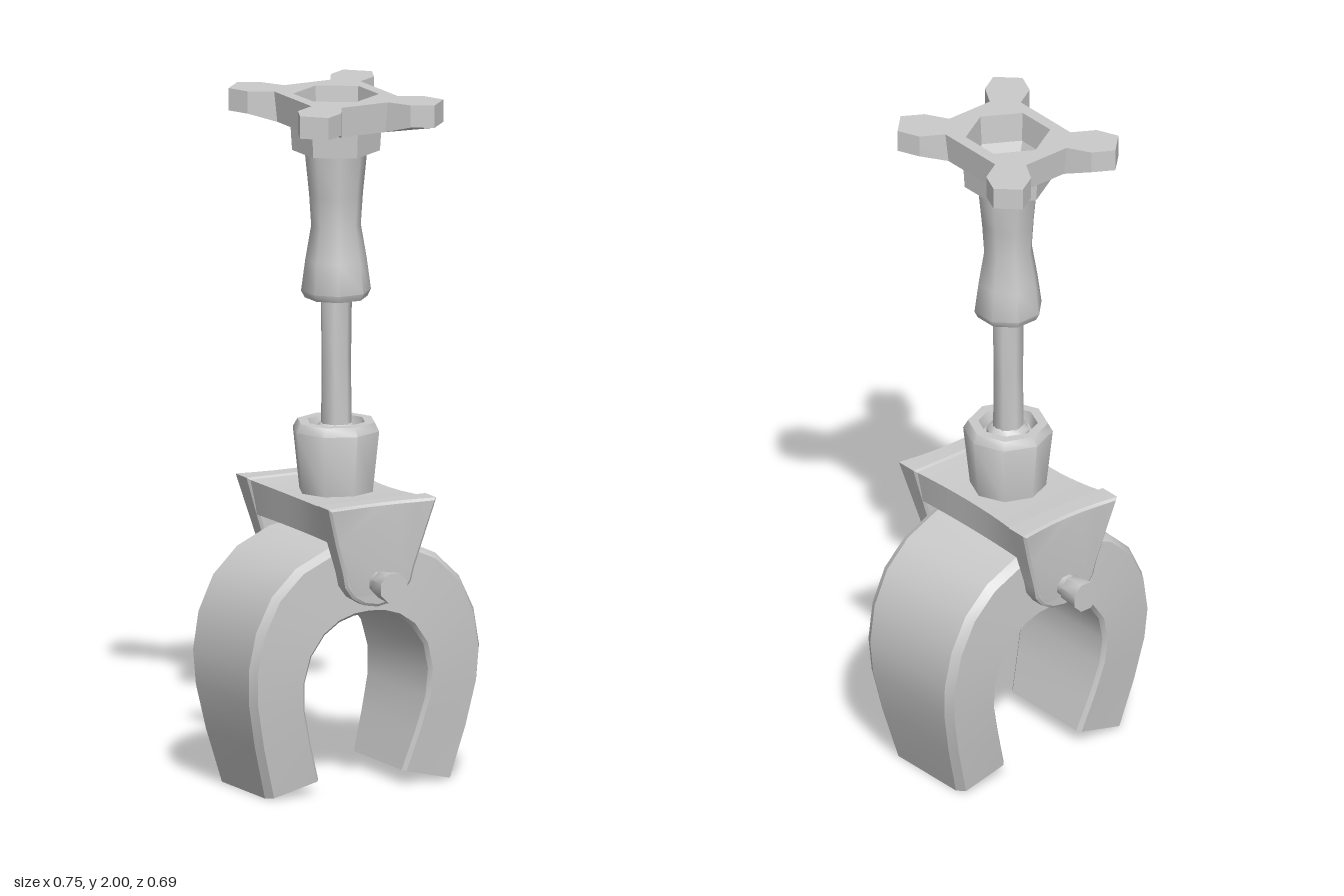
import * as THREE from 'three';
import { toCreasedNormals } from 'three/addons/utils/BufferGeometryUtils.js';

const V = (x, y) => new THREE.Vector2(x, y);
const grey = new THREE.MeshStandardMaterial({ color: 0xcccccc, side: THREE.DoubleSide });

function part(name, geometry, crease = 0.9) {
  const mesh = new THREE.Mesh(toCreasedNormals(geometry, crease), grey);
  mesh.name = name;
  return mesh;
}

// Lathe from [radius, y] pairs
const turned = (name, pairs, sides, turn = 0, crease = 0.9) =>
  part(name, new THREE.LatheGeometry(pairs.map(p => V(...p)), sides, turn), crease);

// Move every vertex by a rule
function reshape(geometry, rule) {
  const pos = geometry.attributes.position;
  const v = new THREE.Vector3();
  for (let i = 0; i < pos.count; i++) {
    rule(v.fromBufferAttribute(pos, i));
    pos.setXYZ(i, v.x, v.y, v.z);
  }
  return geometry;
}

// Horseshoe: chamfered cross-sections between an outer and an inner curve
function horseshoeGeometry() {
  const half = [
    [0.300, 0.005, 0.135, 0.045], [0.342, 0.160, 0.170, 0.160],
    [0.368, 0.290, 0.196, 0.260], [0.373, 0.390, 0.200, 0.340],
    [0.352, 0.500, 0.182, 0.415], [0.303, 0.600, 0.140, 0.475],
    [0.225, 0.675, 0.092, 0.508], [0.120, 0.723, 0.045, 0.522],
    [0, 0.740, 0, 0.525],
  ];
  const mirrored = half.slice(0, -1).reverse().map(([a, b, c, d]) => [-a, b, -c, d]);
  const verts = [], index = [];
  const stations = [...half, ...mirrored];
  for (const [ox, oy, ix, iy] of stations) {
    const o = V(ox, oy), i = V(ix, iy);
    const n = o.clone().sub(i).normalize();
    const o2 = o.clone().addScaledVector(n, -0.016), i2 = i.clone().addScaledVector(n, 0.01);
    const width = y => 0.15 + 0.05 * Math.sin(Math.min(1, y / 0.6) * Math.PI / 2);
    const w = width((oy + iy) / 2), c = w - 0.026, d = w - 0.012;
    const ring = [[o2, w], [o, c], [o, -c], [o2, -w], [i2, -w], [i, -d], [i, d], [i2, w]];
    for (const [p, z] of ring) verts.push(p.x, p.y, z);
  }
  const last = (stations.length - 1) * 8;
  for (let s = 0; s < last; s += 8) {
    for (let j = 0; j < 8; j++) {
      const k = (j + 1) % 8;
      index.push(s + j, s + k, s + 8 + k, s + j, s + 8 + k, s + 8 + j);
    }
  }
  for (let j = 1; j < 7; j++) {
    index.push(0, j + 1, j, last, last + j, last + j + 1);
  }
  const g = new THREE.BufferGeometry();
  g.setAttribute('position', new THREE.Float32BufferAttribute(verts, 3));
  g.setIndex(index);
  return g;
}

// Cheek plate: tapered with a round foot, flaring outward to the top
function cheekGeometry() {
  const pts = [];
  for (let k = 0; k <= 6; k++) pts.push(V(0.175 - k * 0.35 / 6, 0.86));
  pts.push(V(-0.143, 0.75));
  for (let k = 0; k <= 8; k++) {
    const a = Math.PI * (1 + k / 8);
    pts.push(V(0.115 * Math.cos(a), 0.66 + 0.105 * Math.sin(a)));
  }
  pts.push(V(0.143, 0.75));
  const g = new THREE.ExtrudeGeometry(new THREE.Shape(pts), {
    depth: 0.8, bevelThickness: 0.1, bevelSize: 0.008, bevelOffset: -0.008, bevelSegments: 1,
  });
  return reshape(g, v => {
    const t = (v.y - 0.555) / 0.305;
    const outer = 0.25 + 0.032 * t - 0.018 * t * (1 - (v.x / 0.175) ** 2);
    v.z = 0.202 + (outer - 0.202) * (v.z + 0.1);
  });
}

// Bridge between the cheeks: waisted and slightly sagging
function bridgeGeometry() {
  return reshape(new THREE.BoxGeometry(2, 1, 0.44, 1, 1, 8), v => {
    const e = (v.z / 0.22) ** 2, top = v.y > 0;
    v.x *= top ? 0.149 + 0.02 * e : 0.137 + 0.006 * e;
    v.y = top ? 0.847 + 0.008 * e : 0.75;
  });
}

// Hand wheel: four stubby arms around an open hub
function wheelGeometry() {
  const corner = [[0.14, 0.11], [0.205, 0.148], [0.232, 0.212], [0.172, 0.27], [0.112, 0.235], [0.075, 0.17]];
  const pts = [];
  for (const [sx, sy] of [[1, 1], [-1, 1], [-1, -1], [1, -1]]) {
    const run = corner.map(([x, y]) => V(x * sx, y * sy));
    pts.push(...(sx * sy > 0 ? run : run.reverse()));
  }
  const shape = new THREE.Shape(pts);
  const hole = [];
  for (let k = 0; k < 6; k++) {
    const a = -(k + 0.5) * Math.PI / 3;
    hole.push(V(0.122 * Math.sin(a + Math.PI / 6), 0.122 * Math.cos(a + Math.PI / 6)));
  }
  shape.holes.push(new THREE.Path(hole));
  const g = new THREE.ExtrudeGeometry(shape, { depth: 1, bevelEnabled: false });
  g.rotateX(-Math.PI / 2);
  return reshape(g, v => {
    const r = Math.hypot(v.x, v.z);
    const under = r > 0.24 ? 1.935 : 1.912;
    v.y = v.y > 0.5 ? 2 : under;
    // Underside draws in toward the collar
    if (under < 1.93 && v.y < 1.95) { v.x *= 0.95; v.z *= 0.95; }
  });
}

export function createModel() {
  const model = new THREE.Group();
  model.name = 'horseshoeClampTool';

  model.add(part('horseshoe', horseshoeGeometry(), 0.5));

  const bracket = new THREE.Group();
  bracket.name = 'bracket';
  bracket.add(part('bridge', bridgeGeometry(), 0.5));
  for (const side of [0, 1]) {
    const cheek = part(side ? 'backCheek' : 'frontCheek', cheekGeometry(), 0.5);
    cheek.rotation.y = side * Math.PI;
    // Pivot pin end, flaring outward
    const pin = turned(side ? 'backPin' : 'frontPin',
      [[0.034, 0.19], [0.034, 0.275], [0.041, 0.28], [0.046, 0.344], [0, 0.344]], 8, Math.PI / 8);
    pin.rotation.x = side ? -Math.PI / 2 : Math.PI / 2;
    pin.position.y = 0.627;
    bracket.add(cheek, pin);
  }
  model.add(bracket);

  // Socket with a recessed top
  model.add(turned('socket', [
    [0, 0.84], [0.108, 0.84], [0.128, 1.025], [0.114, 1.05], [0.085, 1.05], [0.075, 1.015], [0, 1.015],
  ], 8));
  model.add(turned('rodFoot', [[0.062, 1.01], [0.062, 1.03], [0.045, 1.045]], 8));
  model.add(turned('rod', [[0.045, 1.01], [0.043, 1.22], [0.046, 1.44]], 7, 0.3, 1.0));

  // Waisted grip
  model.add(turned('grip', [
    [0, 1.41], [0.09, 1.41], [0.1, 1.43], [0.088, 1.52], [0.071, 1.62], [0.077, 1.71], [0.09, 1.84],
    [0.05, 1.84], [0.046, 1.79], [0, 1.79],
  ], 8, Math.PI / 8));

  // Hollow six-sided collar under the wheel
  model.add(turned('collar', [
    [0.05, 1.836], [0.125, 1.836], [0.13, 1.915], [0.122, 1.915], [0.095, 1.86], [0.05, 1.85],
  ], 6, 0, 0.6));
  model.add(part('handWheel', wheelGeometry(), 0.3));

  return model;
}
